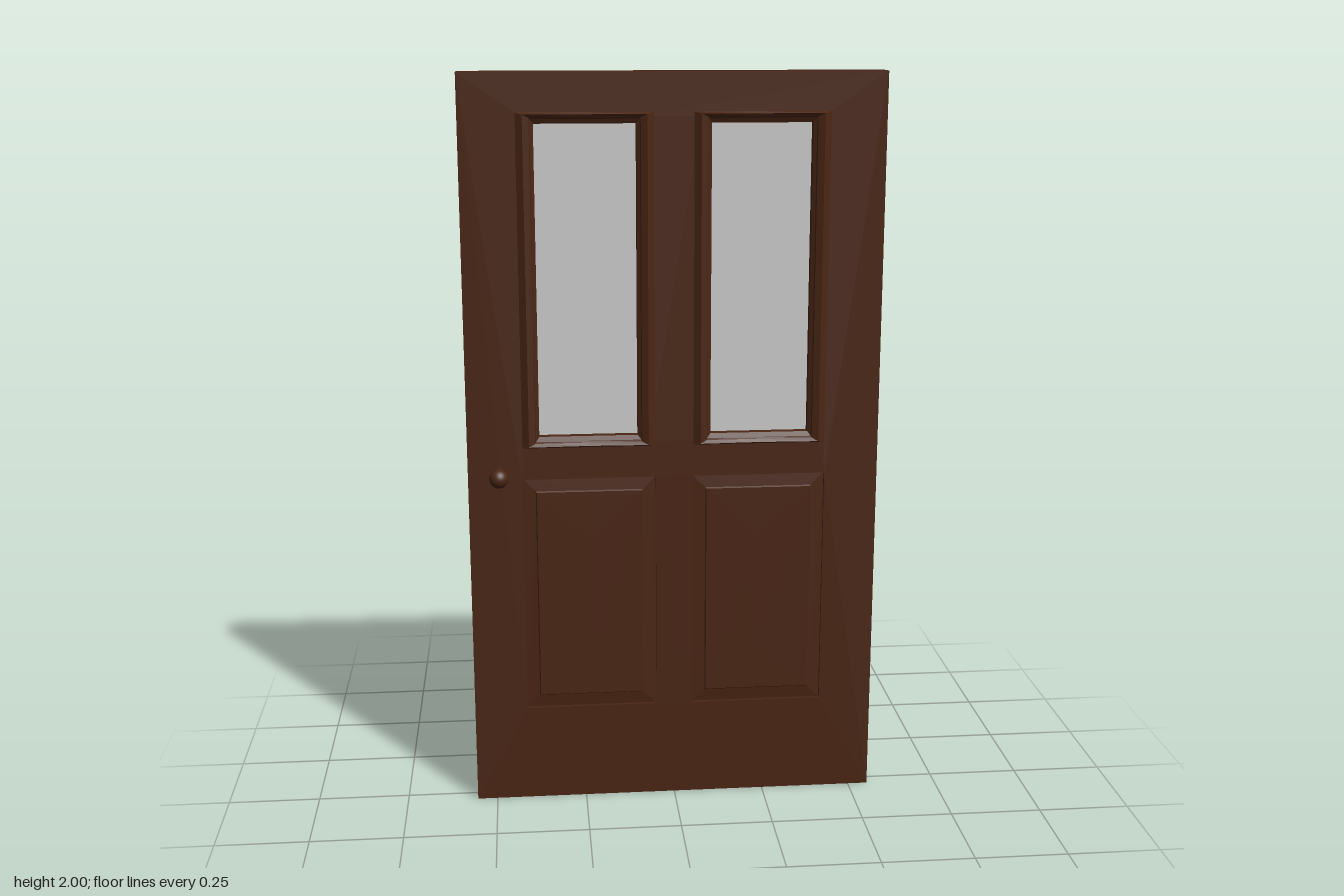
import * as THREE from 'three';

const wood = new THREE.MeshStandardMaterial({ color: 0x4a2614 });
const woodFacet = new THREE.MeshStandardMaterial({ color: 0x4a2614, flatShading: true });
const glass = new THREE.MeshStandardMaterial({ color: 0xcccccc });

const W = 1.11, H = 2, T = 0.038; // width, height, half thickness
const PANEL_X = 0.23;
const WINDOW_Y = 1.458;
const PANEL_Y = 0.6;

function rectPath(path, cx, cy, hw, hh) {
  path.moveTo(cx - hw, cy - hh);
  path.lineTo(cx + hw, cy - hh);
  path.lineTo(cx + hw, cy + hh);
  path.lineTo(cx - hw, cy + hh);
  path.closePath();
  return path;
}

// Surface through rectangular rings [halfWidth, halfHeight, z, dip at mid top and bottom], outermost first
function ringSurface(rings) {
  const around = [[1, -1], [1, 1], [0, 1], [-1, 1], [-1, -1], [0, -1]];
  const n = around.length, positions = [], index = [];
  rings.forEach(([hw, hh, z, dip = 0], r) => {
    around.forEach(([sx, sy], i) => {
      positions.push(sx * hw, sy * hh, sx === 0 ? z - dip : z);
      if (r === rings.length - 1) return;
      const a = r * n + i, b = r * n + (i + 1) % n;
      index.push(a, b, a + n, b, b + n, a + n);
    });
  });
  const g = new THREE.BufferGeometry();
  g.setAttribute('position', new THREE.Float32BufferAttribute(positions, 3));
  g.setIndex(index);
  const flat = g.toNonIndexed();
  flat.computeVertexNormals();
  return flat;
}

export function createModel() {
  const door = new THREE.Group();
  door.name = 'door';
  const add = (name, geometry, material, x = 0, y = 0, z = 0, parent = door) => {
    const mesh = new THREE.Mesh(geometry, material);
    mesh.name = name;
    mesh.position.set(x, y, z);
    parent.add(mesh);
    return mesh;
  };

  // Slab with two window and two panel openings
  const outline = rectPath(new THREE.Shape(), 0, H / 2, W / 2, H / 2);
  for (const s of [-1, 1]) {
    outline.holes.push(rectPath(new THREE.Path(), s * PANEL_X, WINDOW_Y, 0.16, 0.43));
    outline.holes.push(rectPath(new THREE.Path(), s * PANEL_X, PANEL_Y, 0.18, 0.33));
  }
  const slab = new THREE.ExtrudeGeometry(outline, { depth: 2 * T, bevelEnabled: false });
  add('doorSlab', slab, wood, 0, 0, -T);

  // Raised window moulding and fielded lower panel
  const moulding = ringSurface([
    [0.178, 0.441, T],
    [0.160, 0.436, 0.05, 0.005],
    [0.143, 0.428, 0.042, 0.002],
    [0.141, 0.424, 0.036],
    [0.132, 0.412, 0.03],
    [0.132, 0.412, 0],
  ]);
  const panel = ringSurface([
    [0.18, 0.33, 0.028],
    [0.145, 0.295, 0.032],
    [0.142, 0.292, 0.036],
    [0, 0.15, 0.036],
  ]);
  const pane = new THREE.BoxGeometry(0.27, 0.83, 0.016);

  for (const s of [-1, 1]) {
    const side = s > 0 ? 'left' : 'right';
    add(side + 'GlassPane', pane, glass, s * PANEL_X, WINDOW_Y);
    for (const [face, turn] of [['Front', 0], ['Back', Math.PI]]) {
      add(side + face + 'WindowMoulding', moulding, woodFacet, s * PANEL_X, WINDOW_Y).rotation.y = turn;
      add(side + face + 'LowerPanel', panel, woodFacet, s * PANEL_X, PANEL_Y).rotation.y = turn;
    }
  }

  // Turned knob on each face
  const profile = [new THREE.Vector2(0.018, 0.034), new THREE.Vector2(0.018, 0.042), new THREE.Vector2(0.013, 0.045)];
  for (let i = 0; i <= 12; i++) {
    const a = -Math.PI / 3 + (i / 12) * (Math.PI * 5 / 6);
    profile.push(new THREE.Vector2(Math.max(0, 0.026 * Math.cos(a)), 0.075 + 0.026 * Math.sin(a)));
  }
  const knob = new THREE.LatheGeometry(profile, 24);
  for (const s of [1, -1]) {
    add(s > 0 ? 'frontKnob' : 'backKnob', knob, wood, -0.472, 0.945, 0).rotation.x = s * Math.PI / 2;
  }
  return door;
}
